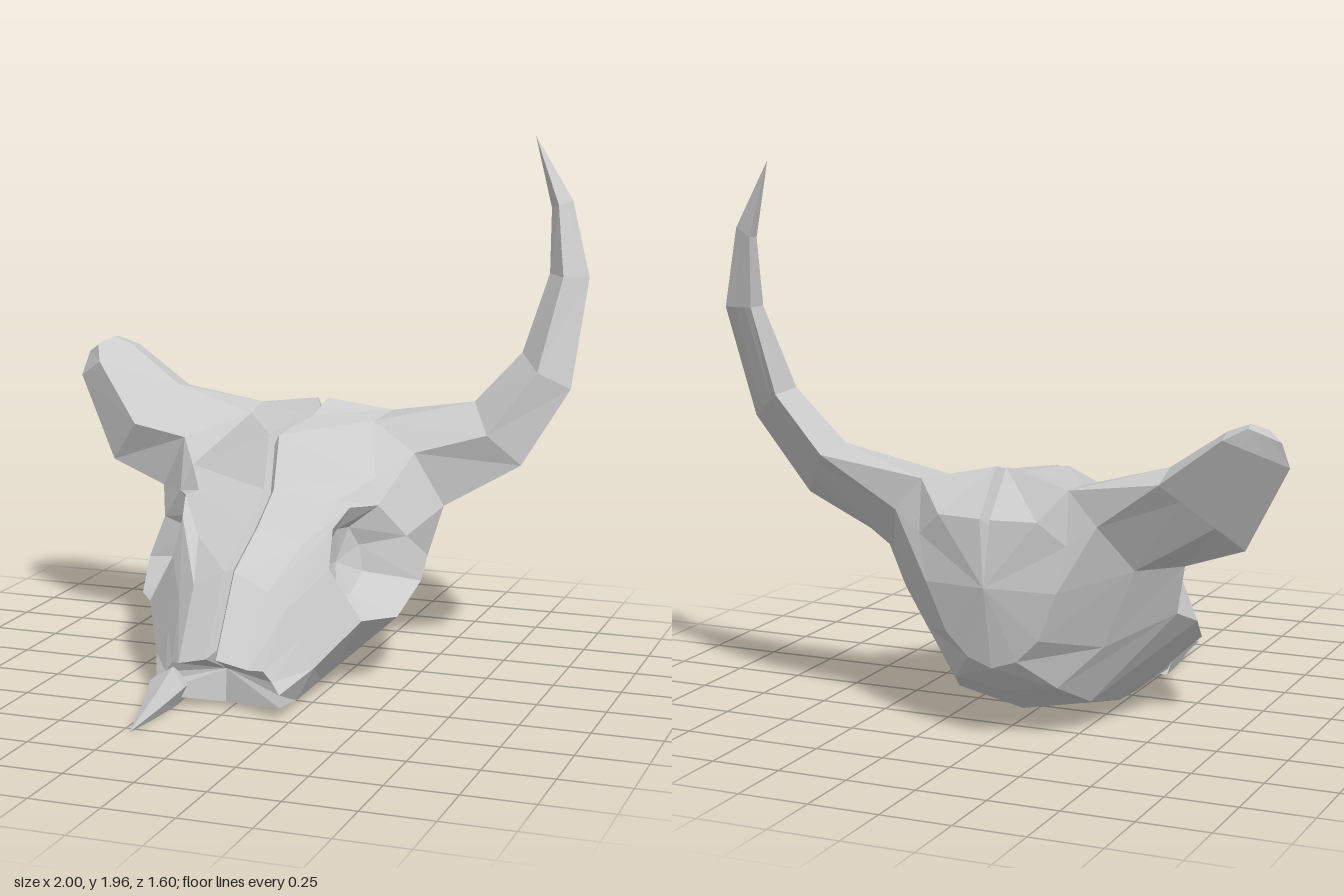
import * as THREE from 'three';

const MID = -0.03; // symmetry plane of the skull

// Stations from snout to eye socket. First point: crack [x, y, z]; the rest: [half width, y, z] from top to bottom
const face = [
  [[-.03, .21, .52], [.13, .18, .50], [.17, .17, .46], [.20, .13, .45], [.23, .09, .46], [.24, .05, .48], [0, .02, .38]],
  [[-.035, .48, .33], [.14, .42, .33], [.20, .35, .32], [.25, .25, .31], [.30, .15, .30], [.24, .03, .31], [0, .015, .28]],
  [[-.02, .60, .14], [.20, .55, .14], [.29, .60, .07], [.30, .47, .14], [.41, .28, .10], [.26, .05, .10], [0, .01, .10]],
  [[-.01, .71, 0], [.27, .68, -.04], [.32, .66, -.03], null, [.50, .27, -.04], [.26, .05, -.06], [0, .01, -.05]],
  [[-.055, .88, -.18], [.36, .74, -.20], [.39, .65, -.15], [.48, .53, -.21], [.54, .37, -.20], [.26, .06, -.23], [0, .02, -.22]],
];
// Stations over the cranium
const cranium = [
  [[-.02, .91, -.47], [.25, .89, -.53], [.46, .81, -.36], [.565, .61, -.40], [.52, .43, -.35], [.25, .12, -.47], [0, .07, -.48]],
  [[-.02, .95, -.63], [.27, .905, -.71], [.37, .79, -.71], [.45, .62, -.57], [.33, .34, -.55], [.19, .20, -.62], [0, .17, -.62]],
  [[-.03, .80, -.785], [.18, .80, -.765], [.27, .72, -.73], [.24, .56, -.745], [.17, .39, -.735], [.09, .31, -.735], [0, .28, -.74]],
];

const v = (x, y, z) => new THREE.Vector3(x, y, z);
const mat = new THREE.MeshStandardMaterial({ color: 0xcccccc, flatShading: true, side: THREE.DoubleSide });

// Collects triangles and quads into one faceted mesh
function facets(flip) {
  const pos = [];
  const tri = (a, b, c) => {
    if (a.equals(b) || b.equals(c) || a.equals(c)) return;
    for (const p of flip ? [a, c, b] : [a, b, c]) pos.push(p.x, p.y, p.z);
  };
  const quad = (a, b, c, d) => { tri(a, b, c); tri(a, c, d); };
  const mesh = (name) => {
    const g = new THREE.BufferGeometry();
    g.setAttribute('position', new THREE.Float32BufferAttribute(pos, 3));
    g.computeVertexNormals();
    const m = new THREE.Mesh(g, mat);
    m.name = name;
    return m;
  };
  return { tri, quad, mesh };
}

// Half of the skull with crack wall, open nose and rounded back
function skullHalf(s) {
  const f = facets(s < 0);
  const core = v(MID, .45, -.25);
  const rows = [...face, ...cranium].map((st) => {
    const pts = st.map((p, j) => p && (j === 0
      ? v(p[0] + s * .019, p[1], p[2])
      : v(MID + s * p[0], p[1], p[2])));
    const floor = v(...st[0]).lerp(core, .08);
    floor.x = st[0][0];
    return [floor, ...pts];
  });
  const nose = v(MID, .14, .37), back = v(MID, .57, -.8);
  for (let i = 0; i < rows.length - 1; i++) {
    for (let j = 0; j < 7; j++) {
      if ((i === 2 || i === 3) && (j === 3 || j === 4)) continue; // eye opening
      if (i === 5 && (j === 2 || j === 3)) continue; // horn root
      f.quad(rows[i][j], rows[i][j + 1], rows[i + 1][j + 1], rows[i + 1][j]);
    }
  }
  const last = rows[rows.length - 1];
  for (let j = 0; j < 7; j++) {
    f.tri(nose, rows[0][j + 1], rows[0][j]);
    f.tri(last[j], last[j + 1], back);
  }
  // Eight-sided rim of the eye and six-sided root of the horn
  const pick = (list) => list.map(([i, j]) => rows[i][j]);
  const rim = pick([[2, 3], [2, 4], [2, 5], [3, 5], [4, 5], [4, 4], [4, 3], [3, 3]]);
  const root = pick([[5, 2], [5, 3], [5, 4], [6, 4], [6, 3], [6, 2]]);
  return { mesh: f.mesh(s > 0 ? 'leftSkull' : 'rightSkull'), rim, root };
}

// Sunken eye: sloping walls and a floor
function eyeSocket(rim, s) {
  const f = facets(s < 0);
  const c = v(MID + s * .26, .45, -.05);
  const inner = rim.map((p) => {
    const q = p.clone().lerp(c, .4);
    q.x = MID + s * (.26 + .3 * (Math.abs(p.x - MID) - .29));
    return q;
  });
  rim.forEach((p, k) => {
    const n = (k + 1) % rim.length;
    f.quad(p, rim[n], inner[n], inner[k]);
    f.tri(inner[k], inner[n], c);
  });
  return f.mesh(s > 0 ? 'leftEyeSocket' : 'rightEyeSocket');
}

// Skin over a row of rings, closed by a point at the end
function loft(rings, tip, name, flip) {
  const f = facets(flip);
  const n = rings[0].length;
  rings.forEach((r, k) => {
    for (let j = 0; j < n; j++) {
      const m = (j + 1) % n;
      if (k + 1 < rings.length) f.quad(r[j], r[m], rings[k + 1][m], rings[k + 1][j]);
      else f.tri(r[j], r[m], tip);
    }
  });
  return f.mesh(name);
}

// Horn section: upper edge, front ridge, lower edge set back by d, and a flat back
function hornRing([ux, uy, lx, ly, zf, zb, d]) {
  const at = (t, e) => v(ux + (lx - ux) * t, uy + (ly - uy) * t, zf + (zb - zf) * e);
  const lower = at(1, d), back = at(.1, 1);
  return [at(0, .55), at(.45, 0), lower, lower.clone().lerp(back, .35), lower.clone().lerp(back, .75), back];
}

export function createModel() {
  const model = new THREE.Group();
  model.name = 'hornedSkull';

  const [left, right] = [1, -1].map((s) => {
    const half = skullHalf(s);
    model.add(half.mesh, eyeSocket(half.rim, s));
    return half;
  });

  // Whole horn, sweeping up to a point
  const whole = [
    [.60, .98, .81, .77, -.40, -.72, .2],
    [.77, 1.17, .97, 1.05, -.48, -.725, .3],
    [.85, 1.46, 1.0, 1.45, -.62, -.75, .55],
    [.84, 1.70, .92, 1.73, -.70, -.775, .55],
  ].map(hornRing);
  model.add(loft([left.root, ...whole], v(.76, 1.965, -.795), 'leftHorn', false));

  // Broken horn with a blunt end
  const broken = [
    [-.60, .98, -.82, .69, -.36, -.73, .2],
    [-.81, 1.12, -1.0, 1.0, -.47, -.71, .25],
    [-.89, 1.15, -.985, 1.09, -.54, -.66, .3],
  ].map(hornRing);
  model.add(loft([right.root, ...broken], v(-.95, 1.12, -.6), 'brokenRightHorn', true));

  // Splinter of jaw bone jutting forward on the right
  const splinter = [
    [-.23, .08, .30, .07, .07],
    [-.22, .08, .46, .065, .07],
    [-.215, .05, .60, .035, .04],
  ].map(([x, y, z, w, h]) => [[.3, 1], [-1, .2], [-.6, -1], [.5, -1], [1, 0]]
    .map(([a, b]) => v(x + a * w, y + b * h, z)));
  model.add(loft(splinter, v(-.22, .01, .795), 'jawSplinter', false));

  return model;
}
